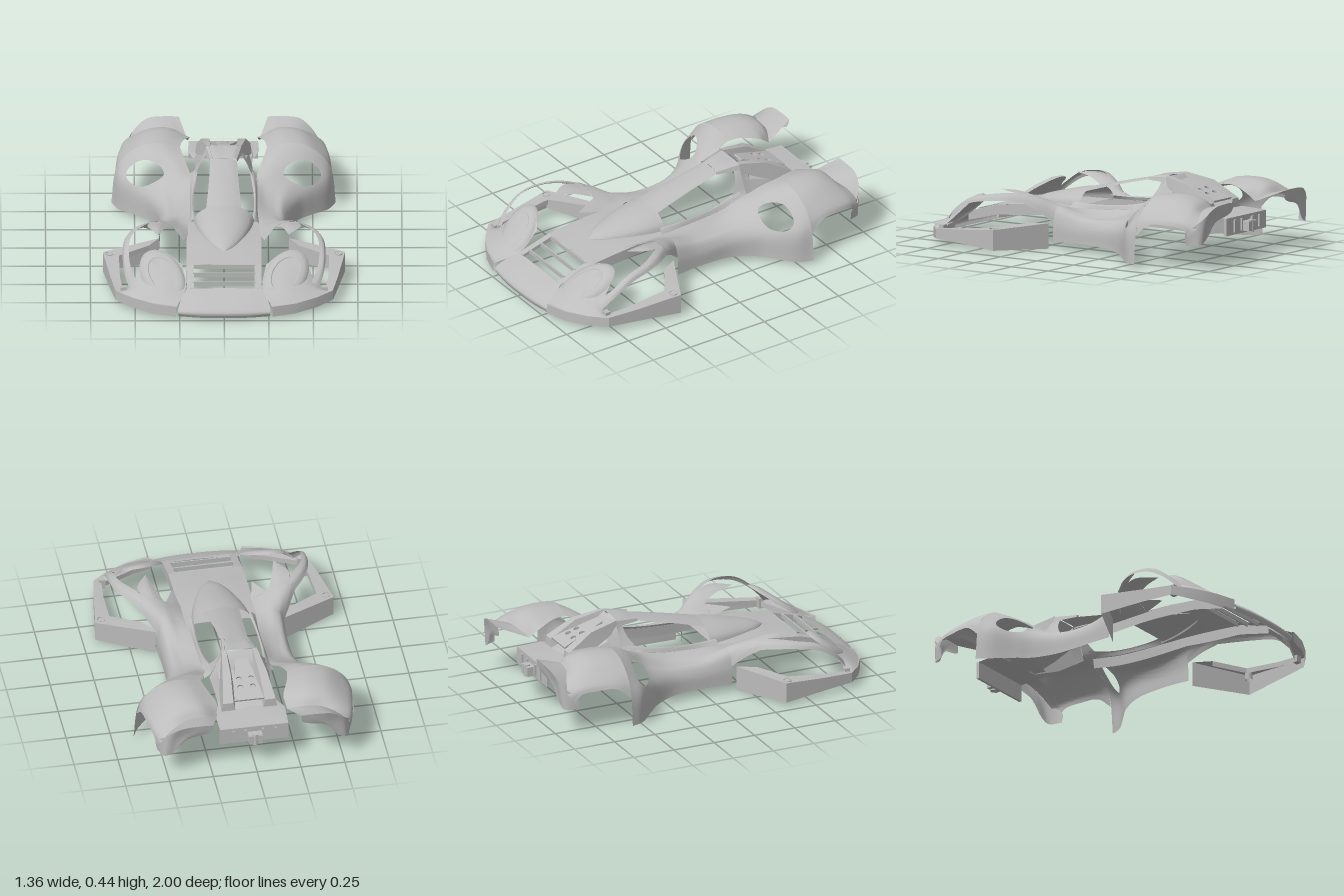
import * as THREE from 'three';
import { toCreasedNormals } from 'three/addons/utils/BufferGeometryUtils.js';

const shellGrey = new THREE.MeshStandardMaterial({ color: 0xbcbcbc, side: THREE.DoubleSide });
shellGrey.name = 'shell grey';

// Sample a list of [x,y,z] points as a smooth curve or a straight polyline.
function sampler(points, straight) {
  const v = points.map((p) => new THREE.Vector3(...p));
  const curve = new THREE.CatmullRomCurve3(v);
  return (t) => {
    if (!straight && v.length > 2) return curve.getPoint(t);
    const f = t * (v.length - 1), i = Math.min(Math.floor(f), v.length - 2);
    return v[i].clone().lerp(v[i + 1], f - i);
  };
}

// Surface stretched over rows of points; hole = [u, v, ru, rv] cuts an ellipse.
function skin(rows, { straight = false, hole = null, k = straight ? 1 : 6 } = {}) {
  const nu = (rows[0].length - 1) * k, nv = (rows.length - 1) * k;
  const rowCurves = rows.map((r) => sampler(r, straight));
  const pos = [], index = [], inside = [];
  for (let j = 0; j <= nv; j++) {
    for (let i = 0; i <= nu; i++) {
      let u = i / nu, v = j / nv, cut = false;
      if (hole) {
        const a = (u - hole[0]) / hole[2], b = (v - hole[1]) / hole[3], r = Math.hypot(a, b);
        if (r < 1) {
          cut = true;
          u = hole[0] + (a / (r || 1)) * hole[2];
          v = hole[1] + (b / (r || 1)) * hole[3];
        }
      }
      inside.push(cut);
      const p = sampler(rowCurves.map((c) => c(u).toArray()), straight)(v);
      pos.push(p.x, p.y, p.z);
    }
  }
  for (let j = 0; j < nv; j++) {
    for (let i = 0; i < nu; i++) {
      const a = j * (nu + 1) + i, b = a + 1, c = a + nu + 1, d = c + 1;
      if (inside[a] && inside[b] && inside[c] && inside[d]) continue;
      index.push(a, c, b, b, c, d);
    }
  }
  const g = new THREE.BufferGeometry();
  g.setAttribute('position', new THREE.Float32BufferAttribute(pos, 3));
  g.setIndex(index);
  return toCreasedNormals(g, 0.6);
}

const at = (z, pts) => pts.map(([x, y]) => [x, y, z]);
const flip = (row) => row.map(([x, y, z]) => [-x, y, z]);
// Half section starting at x = 0 becomes a full one.
const full = (row) => [...flip(row.slice(1)).reverse(), ...row];

export function createModel() {
  const model = new THREE.Group();
  const add = (name, geometry) => {
    const m = new THREE.Mesh(geometry, shellGrey);
    m.name = name;
    model.add(m);
  };
  const centre = (name, rows, o) => add(name, skin(rows.map(full), o));
  const pair = (name, rows, o) => {
    add(name + 'Left', skin(rows, o));
    add(name + 'Right', skin(rows.map((r) => flip(r).reverse()),
      o && o.hole ? { ...o, hole: [1 - o.hole[0], ...o.hole.slice(1)] } : o));
  };
  const box = (name, w, h, d, x, y, z) => add(name, new THREE.BoxGeometry(w, h, d).translate(x, y, z));

  // Nose and hood, with the grille opening between them
  centre('nose', [
    [[0, 0.012, 0.99], [0.14, 0.012, 0.985], [0.255, 0.015, 0.97]],
    [[0, 0.04, 1.0], [0.14, 0.04, 0.995], [0.26, 0.04, 0.98]],
    [[0, 0.085, 0.95], [0.14, 0.085, 0.945], [0.25, 0.08, 0.93]],
    at(0.85, [[0, 0.133], [0.14, 0.131], [0.21, 0.128]]),
  ]);
  pair('grilleSide', [at(0.85, [[0.17, 0.132], [0.21, 0.128], [0.21, 0.08]]),
    at(0.65, [[0.17, 0.19], [0.21, 0.188], [0.21, 0.13]])], { straight: true });
  for (const [z, y] of [[0.8, 0.138], [0.725, 0.158], [0.655, 0.178]]) box('grilleSlat', 0.35, 0.026, 0.008, 0, y, z);
  centre('hood', [
    at(0.65, [[0, 0.193], [0.1, 0.193], [0.21, 0.188]]),
    at(0.4, [[0, 0.22], [0.1, 0.22], [0.21, 0.212]]),
    at(0.13, [[0, 0.222], [0.1, 0.222], [0.2, 0.217]]),
  ]);
  pair('hoodSideWall', [at(0.65, [[0.21, 0.188], [0.21, 0.13]]), at(0.4, [[0.21, 0.212], [0.21, 0.15]]),
    at(0.28, [[0.2, 0.215], [0.2, 0.16]])]);

  // Cabin: domed front, spine, window rails, pillars and roof
  const dome = (z, w, h) => at(z, [0, 0.25, 0.5, 0.75, 1].map((t) =>
    [w * Math.sin(t * Math.PI / 2), 0.212 + h * Math.cos(t * Math.PI / 2)]));
  centre('canopyFront', [dome(0.52, 0.004, 0.002), dome(0.46, 0.06, 0.03), dome(0.35, 0.115, 0.06),
    dome(0.22, 0.155, 0.09), dome(0.12, 0.172, 0.105)]);
  centre('spine', [
    at(0.13, [[0, 0.316], [0.06, 0.308], [0.1, 0.296]]),
    at(-0.08, [[0, 0.366], [0.05, 0.362], [0.085, 0.352]]),
    at(-0.3, [[0, 0.414], [0.05, 0.411], [0.075, 0.403]]),
  ]);
  centre('roof', [
    at(-0.3, [[0, 0.417], [0.06, 0.415], [0.075, 0.405]]),
    at(-0.36, [[0, 0.43], [0.07, 0.427], [0.088, 0.41]]),
    at(-0.43, [[0, 0.437], [0.085, 0.433], [0.105, 0.41]]),
  ]);
  pair('roofRib', [
    at(-0.29, [[0.058, 0.41], [0.063, 0.418], [0.073, 0.414], [0.078, 0.4]]),
    at(-0.43, [[0.08, 0.425], [0.085, 0.438], [0.1, 0.43], [0.11, 0.4]]),
  ], { straight: true });
  pair('windowRail', [
    [[0.158, 0.24, 0.13], [0.168, 0.24, 0], [0.166, 0.255, -0.2], [0.147, 0.295, -0.38]],
    [[0.17, 0.245, 0.15], [0.178, 0.245, 0], [0.176, 0.26, -0.2], [0.16, 0.295, -0.39]],
    [[0.2, 0.215, 0.16], [0.19, 0.22, 0], [0.19, 0.235, -0.2], [0.19, 0.265, -0.39]],
  ]);
  pair('rearPillar', [
    [[0.09, 0.41, -0.395], [0.125, 0.355, -0.385], [0.165, 0.285, -0.34], [0.19, 0.26, -0.31]],
    [[0.1, 0.42, -0.43], [0.13, 0.35, -0.43], [0.17, 0.28, -0.43], [0.2, 0.26, -0.43]],
  ]);

  // Rear cover, fins and holed engine plate
  centre('rearCover', [
    at(-0.43, [[0, 0.432], [0.09, 0.43], [0.13, 0.35], [0.17, 0.26]]),
    at(-0.48, [[0, 0.395], [0.085, 0.395], [0.13, 0.33], [0.165, 0.25]]),
    at(-0.5, [[0, 0.345], [0.085, 0.35], [0.13, 0.33], [0.165, 0.25]]),
    at(-0.6, [[0, 0.305], [0.09, 0.31], [0.135, 0.295], [0.16, 0.24]]),
    at(-0.75, [[0, 0.26], [0.09, 0.26], [0.14, 0.255], [0.165, 0.24]]),
  ], { straight: true });
  pair('rearFin', [
    at(-0.43, [[0.105, 0.38], [0.1, 0.435], [0.075, 0.437], [0.06, 0.39]]),
    at(-0.6, [[0.145, 0.3], [0.125, 0.402], [0.08, 0.404], [0.065, 0.33]]),
    at(-0.75, [[0.16, 0.25], [0.15, 0.31], [0.09, 0.31], [0.08, 0.26]]),
    at(-0.752, [[0.16, 0.25], [0.15, 0.25], [0.09, 0.25], [0.08, 0.26]]),
  ], { straight: true });
  const plate = new THREE.Shape([[-0.035, 0], [0.035, 0], [0.085, 0.275], [-0.085, 0.275]]
    .map((p) => new THREE.Vector2(...p)));
  for (const x of [-0.035, 0.035]) {
    for (const s of [0.135, 0.19]) {
      plate.holes.push(new THREE.Path(Array.from({ length: 16 }, (_, i) => new THREE.Vector2(
        x + 0.017 * Math.cos(i * Math.PI / 8), s - 0.017 * Math.sin(i * Math.PI / 8)))));
    }
  }
  add('enginePlate', new THREE.ExtrudeGeometry(plate, { depth: 0.012, bevelEnabled: false })
    .rotateX(-Math.PI / 2 - 0.35).translate(0, 0.405, -0.485));

  // Rear deck, tail plate with ribs, and hub
  centre('rearDeck', [
    at(-0.68, [[0, 0.27], [0.16, 0.255], [0.17, 0.245]]),
    at(-0.76, [[0, 0.262], [0.16, 0.26], [0.2, 0.255]]),
    at(-0.9, [[0, 0.25], [0.16, 0.25], [0.195, 0.25]]),
  ], { straight: true });
  box('tailPlate', 0.39, 0.1, 0.015, 0, 0.2, -0.9);
  for (const x of [-0.12, -0.05, 0.05, 0.12]) box('tailRib', 0.012, 0.07, 0.012, x, 0.2, -0.912);
  box('tailHub', 0.08, 0.055, 0.05, 0, 0.19, -0.93);
  add('tailHubPin', new THREE.CylinderGeometry(0.018, 0.018, 0.07, 16).translate(0, 0.19, -0.94));

  // Side pods sweeping into the front and rear fenders
  pair('sidePod', [
    at(0.16, [[0.2, 0.215], [0.25, 0.225], [0.3, 0.24], [0.34, 0.22], [0.362, 0.15], [0.365, 0.04]]),
    at(0, [[0.187, 0.22], [0.24, 0.205], [0.29, 0.195], [0.33, 0.182], [0.355, 0.13], [0.36, 0.045]]),
    at(-0.2, [[0.187, 0.235], [0.23, 0.21], [0.28, 0.195], [0.33, 0.187], [0.365, 0.14], [0.372, 0.04]]),
    at(-0.33, [[0.185, 0.26], [0.23, 0.25], [0.3, 0.235], [0.37, 0.21], [0.42, 0.155], [0.43, 0.03]]),
    at(-0.4, [[0.19, 0.28], [0.26, 0.29], [0.33, 0.272], [0.42, 0.228], [0.48, 0.165], [0.495, 0.025]]),
    at(-0.5, [[0.225, 0.335], [0.32, 0.35], [0.42, 0.33], [0.52, 0.265], [0.58, 0.195], [0.59, 0.015]]),
    at(-0.58, [[0.245, 0.36], [0.36, 0.385], [0.46, 0.37], [0.55, 0.31], [0.605, 0.22], [0.63, 0.02]]),
  ], { hole: [0.56, 0.74, 0.19, 0.115], k: 8 });
  pair('podInnerWall', [
    [[0.2, 0.215, 0.28], [0.19, 0.22, 0], [0.19, 0.235, -0.2], [0.19, 0.265, -0.38]],
    [[0.2, 0.16, 0.28], [0.195, 0.16, 0], [0.195, 0.175, -0.2], [0.2, 0.21, -0.38]],
  ]);
  pair('frontFender', [
    at(0.3, [[0.2, 0.215], [0.26, 0.25], [0.33, 0.288], [0.39, 0.3], [0.43, 0.29], [0.455, 0.26]]),
    at(0.23, [[0.2, 0.215], [0.25, 0.238], [0.31, 0.265], [0.365, 0.27], [0.395, 0.25], [0.41, 0.215]]),
    at(0.16, [[0.2, 0.215], [0.25, 0.225], [0.3, 0.24], [0.34, 0.22], [0.355, 0.18], [0.362, 0.15]]),
  ]);
  pair('innerSpike', [at(0.3, [[0.2, 0.215], [0.24, 0.24], [0.285, 0.262]]),
    at(0.43, [[0.225, 0.24], [0.228, 0.241], [0.23, 0.242]])]);
  pair('outerSpike', [at(0.3, [[0.295, 0.267], [0.35, 0.294], [0.41, 0.297]]),
    at(0.4, [[0.335, 0.298], [0.37, 0.314], [0.43, 0.312]]),
    at(0.51, [[0.364, 0.31], [0.365, 0.311], [0.366, 0.311]])]);
  // Thin arch over the front wheel opening, dropping to the bumper
  pair('frontArch', [
    [[0.39, 0.3, 0.3], [0.455, 0.31, 0.39], [0.515, 0.302, 0.49], [0.535, 0.275, 0.61], [0.525, 0.205, 0.71], [0.49, 0.14, 0.78]],
    [[0.43, 0.29, 0.3], [0.495, 0.3, 0.385], [0.543, 0.293, 0.485], [0.56, 0.265, 0.61], [0.55, 0.195, 0.715], [0.515, 0.125, 0.785]],
    [[0.455, 0.26, 0.3], [0.515, 0.272, 0.38], [0.557, 0.27, 0.48], [0.57, 0.242, 0.61], [0.56, 0.172, 0.72], [0.53, 0.1, 0.79]],
  ]);
  pair('rearFender', [
    at(-0.58, [[0.245, 0.36], [0.36, 0.385], [0.46, 0.37], [0.55, 0.31], [0.592, 0.25], [0.612, 0.18]]),
    at(-0.66, [[0.23, 0.362], [0.34, 0.393], [0.45, 0.38], [0.54, 0.32], [0.585, 0.275], [0.6, 0.245]]),
    at(-0.77, [[0.19, 0.335], [0.32, 0.388], [0.43, 0.379], [0.525, 0.322], [0.575, 0.275], [0.585, 0.25]]),
    [[0.197, 0.305, -0.81], [0.29, 0.36, -0.835], [0.41, 0.355, -0.845], [0.51, 0.308, -0.86], [0.558, 0.265, -0.87], [0.567, 0.235, -0.87]],
    [[0.2, 0.29, -0.83], [0.28, 0.325, -0.865], [0.39, 0.32, -0.88], [0.48, 0.288, -0.92], [0.535, 0.235, -0.935], [0.555, 0.19, -0.9]],
  ]);

  // Tail flicks with a leg hanging at the outer end
  pair('tailFlick', [
    [[0.2, 0.29, -0.83], [0.28, 0.325, -0.865], [0.39, 0.32, -0.88], [0.48, 0.288, -0.92], [0.535, 0.235, -0.935]],
    [[0.25, 0.36, -1.0], [0.33, 0.362, -1.0], [0.43, 0.35, -0.995], [0.505, 0.29, -0.965], [0.54, 0.225, -0.935]],
  ]);
  pair('tailPanel', [
    [[0.25, 0.36, -1.0], [0.33, 0.362, -1.0], [0.43, 0.35, -0.995], [0.505, 0.29, -0.965], [0.555, 0.225, -0.9]],
    [[0.26, 0.31, -0.99], [0.35, 0.31, -0.99], [0.44, 0.28, -0.975], [0.51, 0.24, -0.96], [0.56, 0.2, -0.88]],
    [[0.3, 0.29, -0.985], [0.4, 0.26, -0.975], [0.47, 0.17, -0.96], [0.52, 0.145, -0.95], [0.55, 0.145, -0.88]],
  ]);

  // Front corners under the lamps
  pair('frontCorner', [
    [[0.27, 0.07, 0.975], [0.4, 0.075, 0.935], [0.52, 0.085, 0.865], [0.6, 0.09, 0.8]],
    [[0.215, 0.13, 0.84], [0.33, 0.168, 0.81], [0.44, 0.155, 0.785], [0.54, 0.1, 0.785]],
    [[0.235, 0.215, 0.71], [0.34, 0.268, 0.655], [0.44, 0.245, 0.655], [0.495, 0.15, 0.74]],
  ]);

  // Oval lamps: a flush shallow dome with a faint inner oval
  const ring = ([r, h]) => Array.from({ length: 33 }, (_, i) => {
    const c = Math.cos(i * Math.PI / 16) * r, s = Math.sin(i * Math.PI / 16) * r;
    return [0.345 + 0.09 * c + 0.095 * s, 0.185 + 0.092 * c - 0.045 * s + 0.83 * h,
      0.775 - 0.13 * c + 0.05 * s + 0.56 * h];
  });
  pair('lamp', [[1, -0.022], [0.93, -0.008], [0.8, 0.001], [0.64, 0.005], [0.6, 0.001], [0.3, 0.005], [0, 0.006]].map(ring),
    { straight: true });

  // Bumper frame running from the nose round to the side plates
  const frame = [ // outer x z, inner x z, top, bottom
    [0.27, 0.98, 0.27, 0.9, 0.075, 0.015], [0.4, 0.94, 0.37, 0.87, 0.078, 0.018],
    [0.52, 0.87, 0.48, 0.81, 0.085, 0.025], [0.61, 0.79, 0.57, 0.76, 0.092, 0.035],
    [0.64, 0.62, 0.585, 0.62, 0.105, 0.03], [0.68, 0.35, 0.59, 0.4, 0.132, 0.015],
    [0.365, 0.19, 0.42, 0.29, 0.145, 0],
  ];
  pair('bumperFrame', frame.map(([x, z, u, w, t, b]) =>
    [[u, t - 0.03, w], [u, t, w], [x, t, z], [x, b, z]]), { straight: true });
  for (const s of [-1, 1]) {
    add('bumperBoss', new THREE.CylinderGeometry(0.022, 0.022, 0.05, 20, 1, true).translate(s * 0.642, 0.11, 0.375));
    box('bumperBracket', 0.035, 0.06, 0.03, s * 0.565, 0.08, 0.775);
  }
  return model;
}
